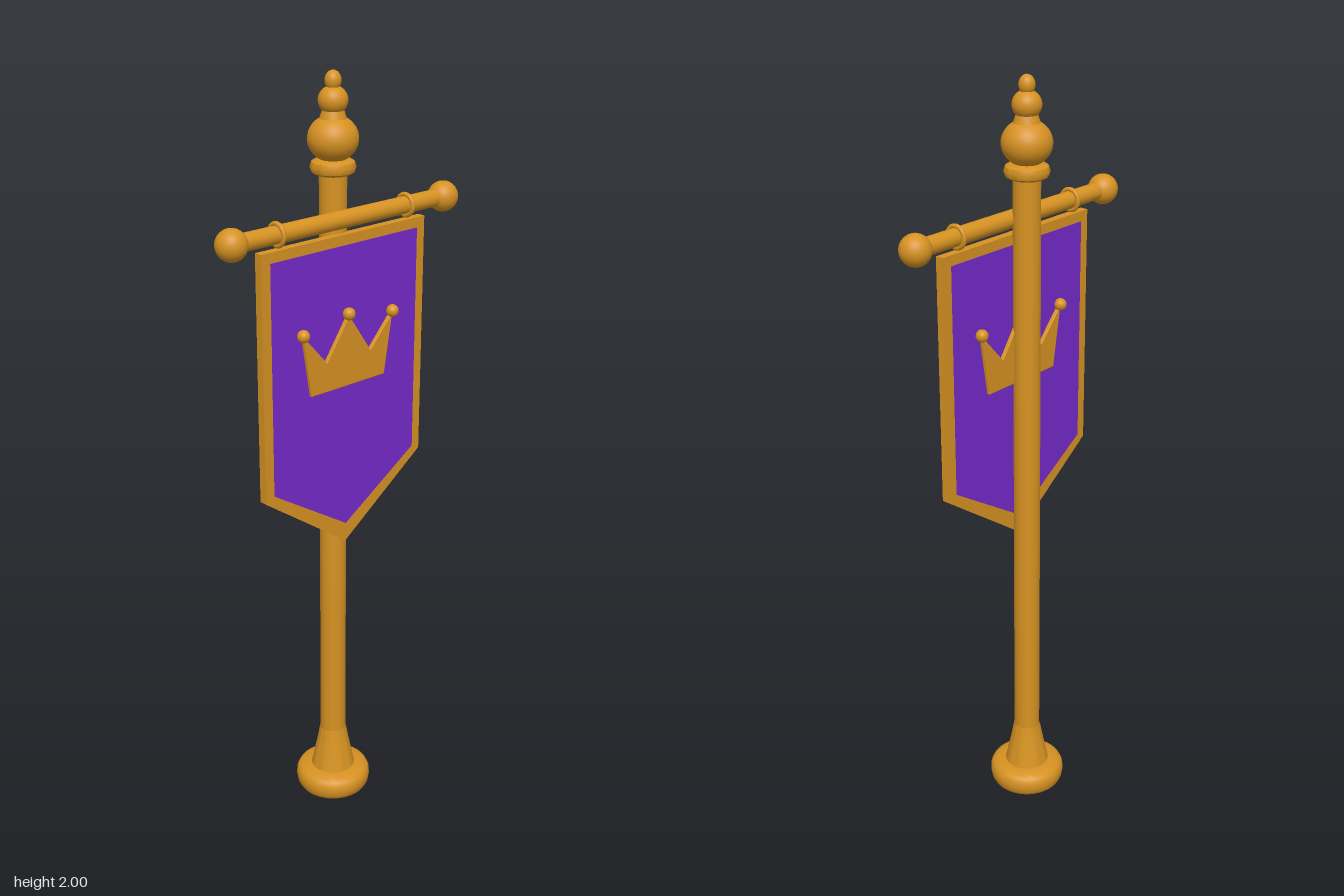
import * as THREE from 'three';
import { toCreasedNormals } from 'three/addons/utils/BufferGeometryUtils.js';

export function createModel() {
  const root = new THREE.Group();
  root.name = 'bannerStand';
  const gold = new THREE.MeshStandardMaterial({ color: 0xd69222 });
  gold.name = 'gold';
  const purple = new THREE.MeshStandardMaterial({ color: 0x742ac8 });
  purple.name = 'purple';

  const Z = 0.037; // plane of the banner and crossbar
  const BAR_Y = 1.655;

  function add(name, geometry, material, x = 0, y = 0, z = 0) {
    const mesh = new THREE.Mesh(geometry, material);
    mesh.name = name;
    mesh.position.set(x, y, z);
    root.add(mesh);
    return mesh;
  }
  const lathe = (pts) => toCreasedNormals(
    new THREE.LatheGeometry(pts.map(([r, y]) => new THREE.Vector2(r, y)), 40), 0.7);
  const ball = (r) => new THREE.SphereGeometry(r, 28, 20);
  const shapeOf = (pts) => new THREE.Shape(pts.map(([x, y]) => new THREE.Vector2(x, y)));
  // plate of the given depth centred on its own z = 0
  function plate(shape, depth, bevel = 0) {
    const g = new THREE.ExtrudeGeometry(shape, {
      depth: depth - 2 * bevel, bevelEnabled: bevel > 0, bevelSize: bevel,
      bevelThickness: bevel, bevelOffset: -bevel, bevelSegments: 2,
    });
    return g.translate(0, 0, -depth / 2 + bevel);
  }

  // Pole with rounded foot and flared socket
  add('foot', lathe([[0, 0.004], [0.085, 0.004], [0.094, 0.008], [0.1, 0.018], [0.103, 0.035],
    [0.102, 0.05], [0.096, 0.062], [0.086, 0.068], [0.06, 0.072], [0, 0.072]]), gold);
  add('socket', lathe([[0.061, 0.068], [0.056, 0.09], [0.048, 0.13], [0.041, 0.165], [0.036, 0.195]]), gold);
  add('pole', new THREE.CylinderGeometry(0.034, 0.035, 1.7, 36), gold, 0, 0.92, 0);

  // Finial: collar and stacked balls
  add('finialCollar', lathe([[0, 1.758], [0.042, 1.758], [0.052, 1.764], [0.056, 1.776],
    [0.052, 1.788], [0.042, 1.794], [0, 1.794]]), gold);
  add('finialBall', ball(0.062), gold, 0, 1.842, 0).scale.y = 0.9;
  add('finialNeck', new THREE.CylinderGeometry(0.024, 0.034, 0.03, 28), gold, 0, 1.9, 0);
  add('finialSmallBall', ball(0.036), gold, 0, 1.931, 0).scale.y = 0.95;
  add('finialTip', ball(0.02), gold, 0, 1.976, 0).scale.y = 1.2;

  // Crossbar with end balls and hanging rings
  add('crossbar', new THREE.CylinderGeometry(0.022, 0.022, 0.66, 28), gold, 0, BAR_Y, Z)
    .rotation.z = Math.PI / 2;
  for (const s of [-1, 1]) {
    add(s > 0 ? 'leftEndBall' : 'rightEndBall', ball(0.039), gold, s * 0.341, BAR_Y, Z);
    add(s > 0 ? 'leftRing' : 'rightRing', new THREE.TorusGeometry(0.026, 0.006, 12, 28),
      gold, s * 0.208, BAR_Y, Z).rotation.y = Math.PI / 2;
  }

  // Banner: gold border around a purple field
  const outline = (w, top, corner, tip) => [[-w, top], [-w, corner], [0, tip], [w, corner], [w, top]];
  const border = shapeOf(outline(0.265, 1.62, 0.986, 0.796));
  border.holes.push(new THREE.Path(shapeOf(outline(0.236, 1.592, 1.001, 0.85)).getPoints()));
  add('bannerBorder', plate(border, 0.022), gold, 0, 0, Z);
  add('bannerCloth', plate(shapeOf(outline(0.238, 1.594, 1.0, 0.848)), 0.026), purple, 0, 0, Z);

  // Crown emblem standing proud on both faces
  const crown = shapeOf([[-0.122, 1.236], [0.122, 1.236], [0.148, 1.397], [0.073, 1.314],
    [0, 1.42], [-0.073, 1.314], [-0.148, 1.397]]);
  add('crown', plate(crown, 0.046, 0.003), gold, 0, 0, Z);
  for (const side of [-1, 1]) {
    for (const [x, y] of [[-0.148, 1.399], [0, 1.423], [0.148, 1.399]]) {
      add('crownPearl', ball(0.016), gold, x, y, Z + side * 0.022);
    }
  }
  return root;
}
